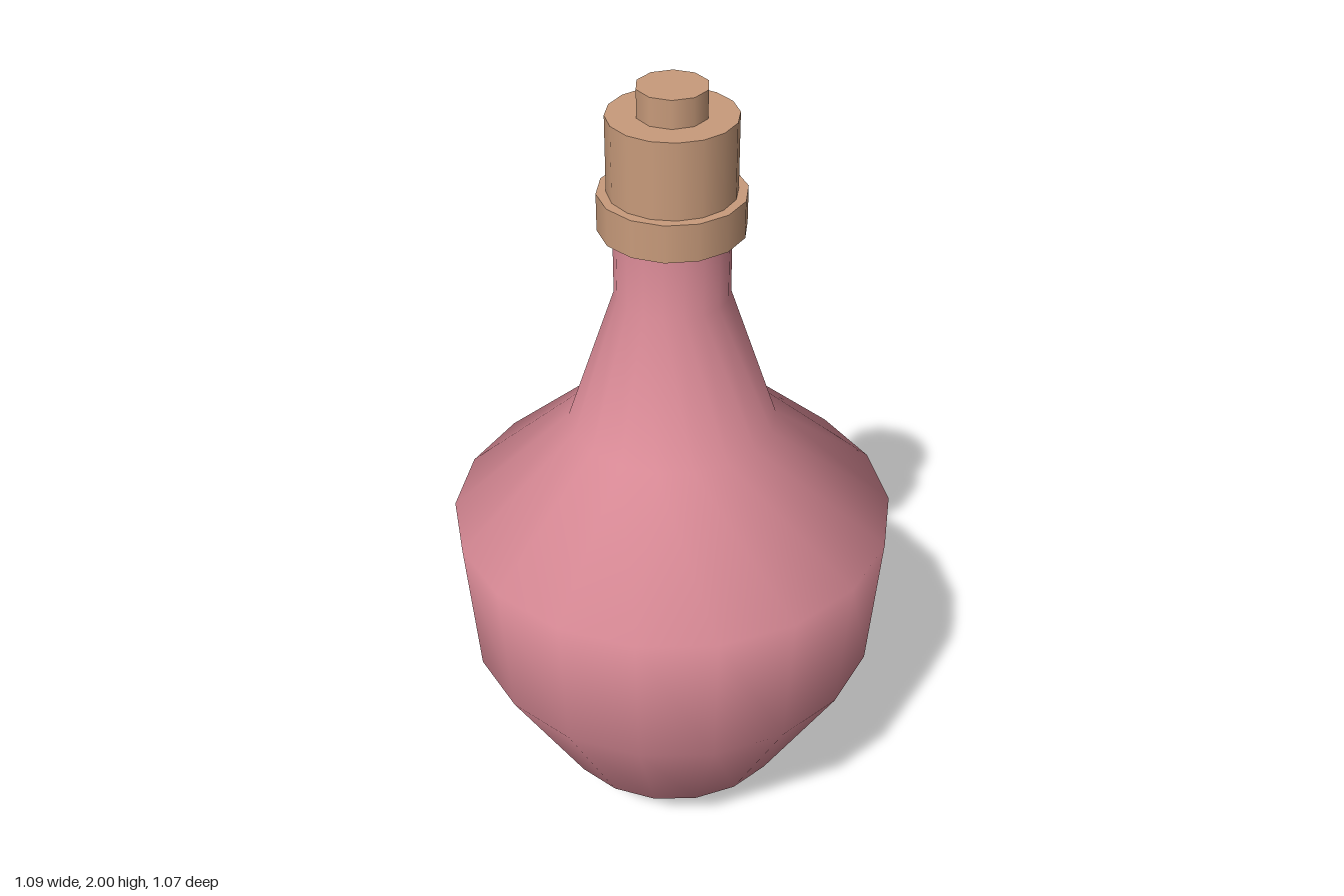
import * as THREE from 'three';

export function createModel() {
  const model = new THREE.Group();
  model.name = 'bottle';

  const pinkGlass = new THREE.MeshStandardMaterial({ color: 0xd98a96 });
  pinkGlass.name = 'pink glass';
  const corkBrown = new THREE.MeshStandardMaterial({ color: 0xc89b7b });
  corkBrown.name = 'cork brown';

  // Smooth eighteen-sided body, from the base centre up the neck
  const profile = [
    [0, 0], [0.17, 0], [0.315, 0.14], [0.52, 0.515], [0.545, 0.89],
    [0.25, 1.16], [0.135, 1.5], [0.135, 1.7],
  ].map(([r, y]) => new THREE.Vector2(r, y));
  const body = new THREE.Mesh(new THREE.LatheGeometry(profile, 18, Math.PI / 2), pinkGlass);
  body.name = 'glassBody';
  model.add(body);

  // Stacked cylinders: lip ring, cork and its knob
  const addCylinder = (name, radius, bottom, top, sides) => {
    const geometry = new THREE.CylinderGeometry(radius, radius, top - bottom, sides);
    geometry.rotateY(Math.PI / 2);
    const mesh = new THREE.Mesh(geometry, corkBrown);
    mesh.name = name;
    mesh.position.y = (bottom + top) / 2;
    model.add(mesh);
  };
  addCylinder('lipRing', 0.17, 1.665, 1.755, 14);
  addCylinder('cork', 0.147, 1.75, 1.935, 16);
  addCylinder('corkKnob', 0.081, 1.93, 2, 10);

  return model;
}
